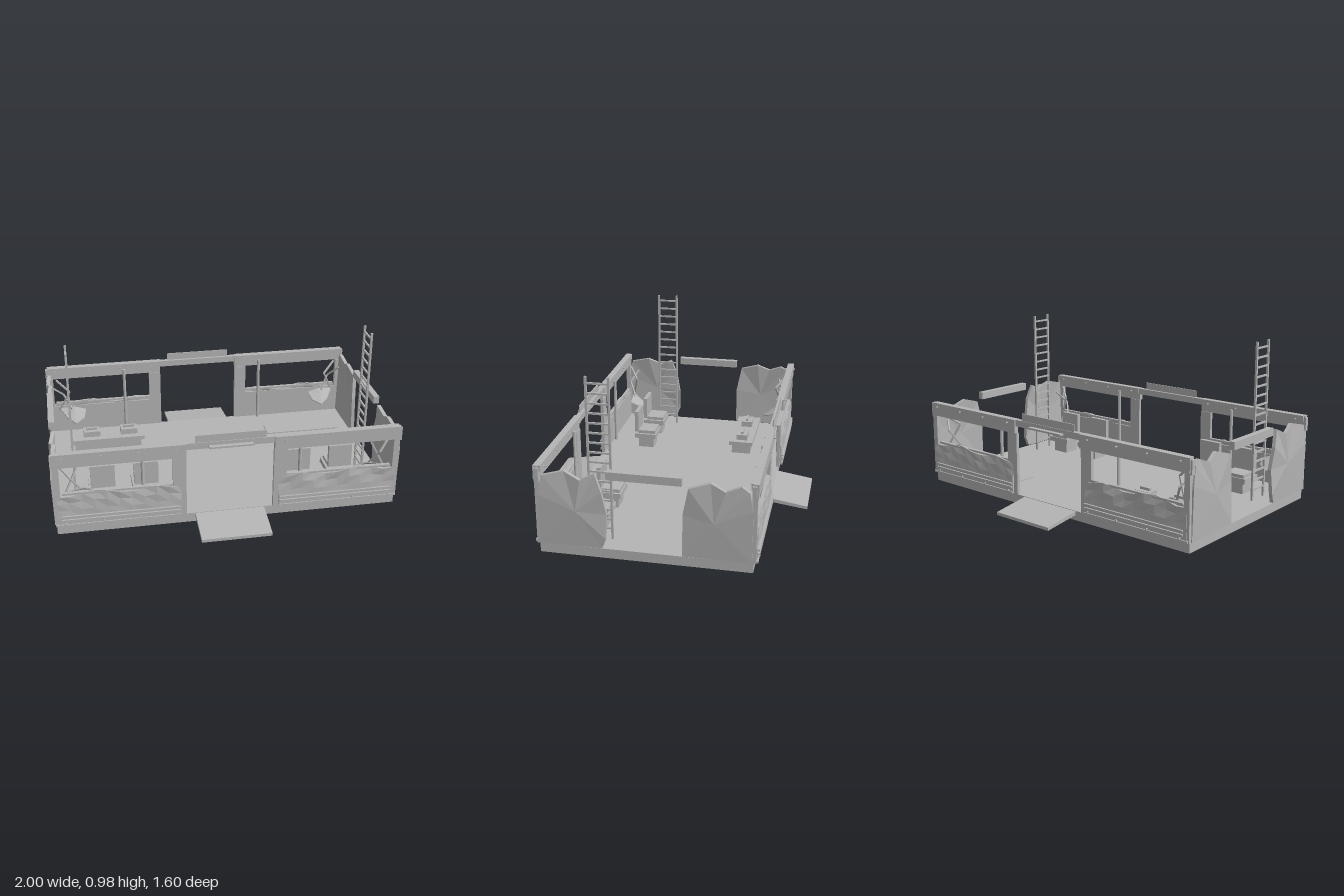
import * as THREE from 'three';

const grey = new THREE.MeshStandardMaterial({ color: 0xb4b4b4, flatShading: true, side: THREE.DoubleSide });
grey.name = 'plain grey';

function add(parent, name, geometry) {
  const mesh = new THREE.Mesh(geometry, grey);
  mesh.name = name;
  parent.add(mesh);
  return mesh;
}

// Box given by its extents on each axis
function box(parent, name, x0, x1, y0, y1, z0, z1) {
  const g = new THREE.BoxGeometry(Math.abs(x1 - x0), y1 - y0, Math.abs(z1 - z0));
  g.translate((x0 + x1) / 2, (y0 + y1) / 2, (z0 + z1) / 2);
  return add(parent, name, g);
}

// Round bar between two points
function rod(parent, name, a, b, r, sides = 6) {
  const A = new THREE.Vector3(...a), B = new THREE.Vector3(...b);
  const dir = B.clone().sub(A);
  const m = add(parent, name, new THREE.CylinderGeometry(r, r, dir.length(), sides));
  m.position.copy(A).add(B).multiplyScalar(0.5);
  m.quaternion.setFromUnitVectors(new THREE.Vector3(0, 1, 0), dir.normalize());
  return m;
}

// Faceted torn sheet: two fans joined by a rim
function tornSheet(parent, name, points, centre, offset) {
  const rim = points.map(p => new THREE.Vector3(...p));
  const c = new THREE.Vector3(...centre), o = new THREE.Vector3(...offset);
  const pos = [];
  const tri = (...v) => v.forEach(p => pos.push(p.x, p.y, p.z));
  const n = new THREE.Vector3().crossVectors(rim[0].clone().sub(c), rim[1].clone().sub(c));
  if (n.dot(o) > 0) rim.reverse();
  rim.forEach((a, i) => {
    const b = rim[(i + 1) % rim.length];
    const a2 = a.clone().add(o), b2 = b.clone().add(o), c2 = c.clone().add(o);
    tri(c, a, b);
    tri(c2, b2, a2);
    tri(a, a2, b2);
    tri(a, b2, b);
  });
  const g = new THREE.BufferGeometry();
  g.setAttribute('position', new THREE.Float32BufferAttribute(pos, 3));
  g.computeVertexNormals();
  return add(parent, name, g);
}

// Lower wall skin with dents growing towards the window
function dentedPanel(parent, s) {
  const g = new THREE.BoxGeometry(0.69, 0.19, 0.016, 10, 4, 1);
  const p = g.attributes.position;
  for (let i = 0; i < p.count; i++) {
    const x = p.getX(i) + 0.345, y = p.getY(i) + 0.095;
    const k = Math.max(0, y / 0.19 - 0.3);
    const dent = k * (0.012 * Math.sin(x * 23 + y * 30) - 0.012);
    const sag = k * (0.02 * Math.sin(x * 17) - 0.02 * (x < 0.1 ? 1 : 0));
    p.setXYZ(i, s * (0.28 + x), 0.065 + y + sag, 0.588 + p.getZ(i) + dent);
  }
  if (s < 0) g.index.array.reverse();
  g.computeVertexNormals();
  add(parent, 'dentedPanel', g);
}

// One long side: two windowed halves, door frame, sign and ramp
function createSide() {
  const side = new THREE.Group();
  for (const s of [1, -1]) {
    box(side, 'topBand', s * 0.25, s * 0.985, 0.43, 0.51, 0.57, 0.597);
    box(side, 'topRail', s * 0.25, s * 0.98, 0.475, 0.51, 0.556, 0.57);
    box(side, 'doorPost', s * 0.25, s * 0.325, 0.055, 0.43, 0.565, 0.585);
    box(side, 'endPost', s * 0.95, s * 0.985, 0.055, 0.43, 0.565, 0.592);
    box(side, 'innerWall', s * 0.29, s * 0.95, 0.055, 0.235, 0.565, 0.574);
    box(side, 'windowSill', s * 0.31, s * 0.94, 0.25, 0.262, 0.565, 0.585);
    box(side, 'cornerBracket', s * 0.98, s * 0.995, 0.42, 0.5, 0.565, 0.59);
    dentedPanel(side, s);
    for (const y of [0.098, 0.12]) box(side, 'trimRail', s * 0.285, s * 0.95, y - 0.005, y + 0.005, 0.59, 0.606);
    box(side, 'bottomTrim', s * 0.28, s * 0.98, 0.06, 0.072, 0.588, 0.603);
    for (const x of [0.31, 0.515, 0.72, 0.93]) {
      rod(side, 'bolt', [s * x, 0.487, 0.545], [s * x, 0.487, 0.61], 0.005);
      rod(side, 'bolt', [s * x, 0.078, 0.59], [s * x, 0.078, 0.607], 0.005);
    }
    // Buckled braces in the corner
    const bent = [[0.93, 0.43, 0.55], [0.85, 0.37, 0.49], [0.92, 0.23, 0.53]];
    const bent2 = [[0.955, 0.4, 0.5], [0.89, 0.33, 0.545], [0.84, 0.24, 0.5]];
    for (const path of [bent, bent2])
      for (let i = 0; i < 2; i++)
        rod(side, 'bentBrace', [s * path[i][0], path[i][1], path[i][2]], [s * path[i + 1][0], path[i + 1][1], path[i + 1][2]], 0.007, 4);
    // Torn flap hanging beside the braces
    tornSheet(side, 'tornFlap',
      [[0.92, 0.24, 0.53], [0.82, 0.25, 0.515], [0.75, 0.23, 0.51], [0.765, 0.2, 0.45], [0.82, 0.18, 0.41], [0.87, 0.2, 0.45]].map(p => [s * p[0], p[1], p[2]]),
      [s * 0.83, 0.225, 0.48], [0, -0.006, 0]);
  }
  box(side, 'doorHeader', -0.25, 0.25, 0.472, 0.51, 0.56, 0.588);
  box(side, 'overDoorPlate', -0.2, 0.2, 0.505, 0.553, 0.577, 0.584);
  box(side, 'headerBar', -0.125, 0.125, 0.48, 0.49, 0.588, 0.615);

  // Sloping ramp
  const profile = new THREE.Shape([[0.575, 0.03], [0.8, 0], [0.8, 0.018], [0.575, 0.053]].map(p => new THREE.Vector2(...p)));
  const ramp = add(side, 'ramp', new THREE.ExtrudeGeometry(profile, { depth: 0.4, bevelEnabled: false }));
  ramp.rotation.y = -Math.PI / 2;
  ramp.position.x = 0.2;
  return side;
}

function createChair(x) {
  const chair = new THREE.Group();
  chair.name = 'chair';
  box(chair, 'chairBase', -0.055, 0.055, 0.055, 0.125, -0.05, 0.05);
  box(chair, 'seat', -0.08, 0.08, 0.125, 0.155, -0.07, 0.07);
  box(chair, 'seatCushion', -0.065, 0.065, 0.155, 0.175, -0.062, 0.05);
  box(chair, 'chairBack', -0.07, 0.07, 0.165, 0.305, 0.048, 0.072);
  chair.position.set(x, 0, 0.32);
  return chair;
}

function createLadder(x) {
  const ladder = new THREE.Group();
  ladder.name = 'ladder';
  for (const z of [0.206, 0.328]) box(ladder, 'ladderRail', x - 0.006, x + 0.006, 0.055, 0.98, z - 0.006, z + 0.006);
  for (let i = 0; i < 16; i++) {
    const y = 0.118 + i * 0.055;
    box(ladder, 'rung', x - 0.005, x + 0.005, y - 0.005, y + 0.005, 0.21, 0.325);
  }
  return ladder;
}

export function createModel() {
  const model = new THREE.Group();
  model.name = 'openCabin';
  box(model, 'floor', -0.98, 0.98, 0, 0.055, -0.578, 0.578);

  for (const [name, turn] of [['frontSide', 0], ['backSide', Math.PI]]) {
    const side = createSide();
    side.name = name;
    side.rotation.y = turn;
    model.add(side);
  }

  // Jagged end panels: [z, y, bend]
  const jagged = [[0.575, 0.06, 0], [0.575, 0.35, 0.006], [0.55, 0.46, 0], [0.43, 0.49, -0.012], [0.34, 0.45, 0.004],
    [0.265, 0.487, -0.014], [0.228, 0.39, 0], [0.204, 0.26, -0.008], [0.208, 0.12, 0.004], [0.23, 0.062, 0]];
  const jaggedBack = [[0.572, 0.06, 0], [0.572, 0.36, 0.006], [0.552, 0.46, 0], [0.51, 0.487, -0.008], [0.43, 0.455, 0.004],
    [0.35, 0.49, -0.012], [0.235, 0.455, 0], [0.204, 0.3, -0.008], [0.204, 0.062, 0]];
  for (const s of [1, -1]) {
    for (const [d, list] of [[1, jagged], [-1, jaggedBack]])
      tornSheet(model, 'endPanel', list.map(([z, y, b]) => [s * (0.99 + b), y, d * z]), [s * 0.998, 0.27, d * 0.37], [-s * 0.022, 0, 0]);
    box(model, 'endBeam', s * 0.955, s * 0.99, 0.465, 0.51, -0.2, 0.2);
    model.add(createLadder(s * 0.863));
    for (const x of [-0.49, 0.41]) rod(model, 'pole', [x, 0.055, s * 0.55], [x, 0.475, s * 0.55], 0.01, 10);
  }

  for (const x of [-0.705, -0.455, 0.447, 0.702]) model.add(createChair(x));

  // Low console with two instrument boxes
  box(model, 'consoleBase', -0.84, -0.42, 0.055, 0.115, -0.375, -0.255);
  box(model, 'consoleTop', -0.86, -0.4, 0.115, 0.14, -0.39, -0.24);
  for (const x of [-0.73, -0.492]) {
    box(model, 'instrumentBox', x - 0.053, x + 0.053, 0.14, 0.175, -0.352, -0.282);
    box(model, 'instrumentHandle', x - 0.035, x + 0.035, 0.175, 0.19, -0.324, -0.31);
  }
  box(model, 'floorHatch', 0.42, 0.9, 0.055, 0.061, -0.4, -0.28);
  return model;
}
